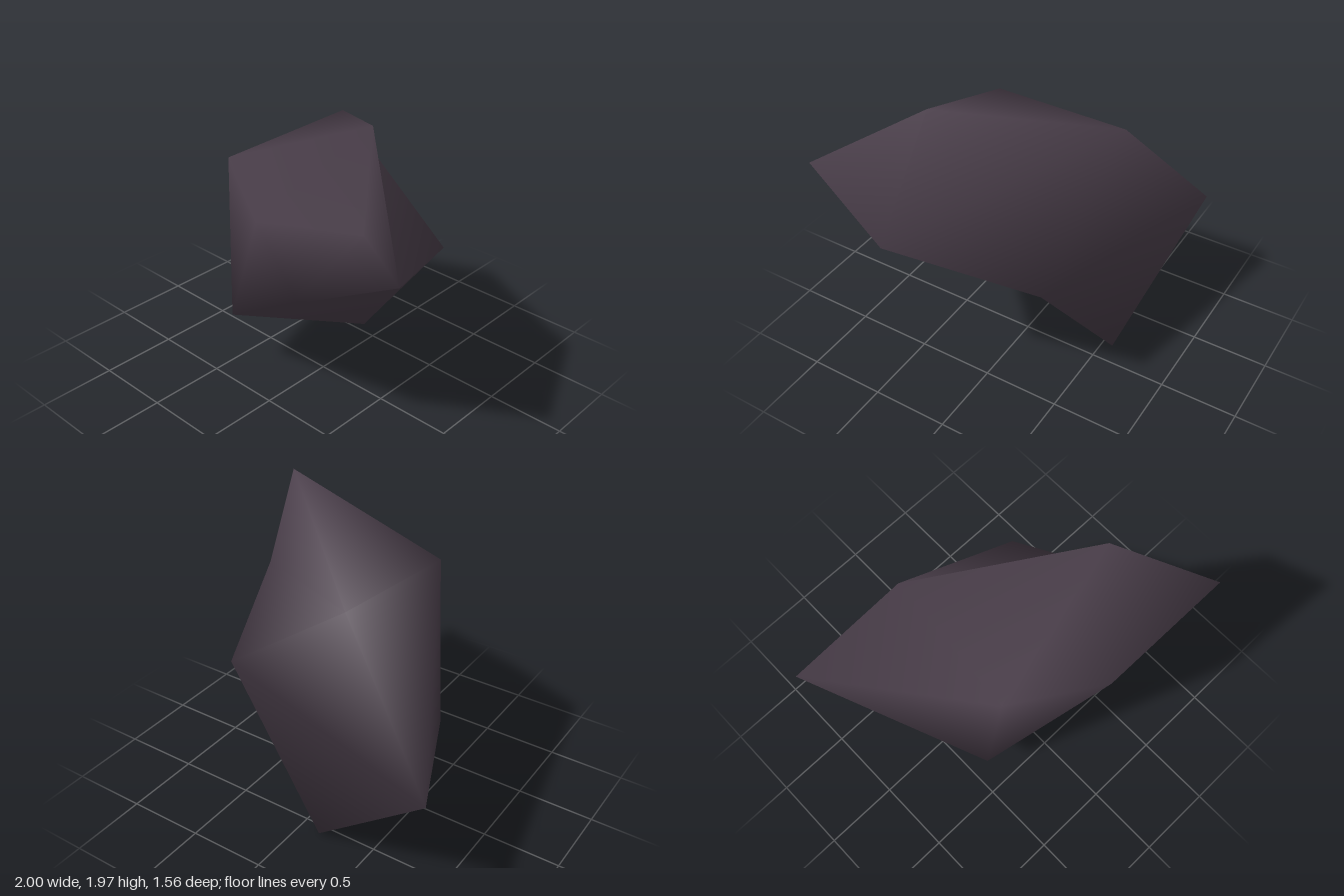
import * as THREE from 'three';

// Corner points of the boulder
const corners = {
  A: [-1, 0.77, -0.78], // back right tip
  B: [-0.14, 0, -0.57], // foot
  C: [0.6, 1.97, 0.26], // peak
  D: [1, 1.67, 0.78], // front left tip
  E: [0.93, 1.18, 0.4],
  F: [0.59, 0.95, -0.45],
  G: [-0.29, 1.6, -0.49],
  H: [0.2, 1.45, 0.74],
  I: [-0.44, 0.4, 0.39],
  K: [0.44, 1.0, 0.67],
  M: [-0.36, 1.55, 0.43],
};

// Facets, by corner letters
const facets = [
  'AGF', 'AFB', // back
  'ABI', 'AIM', 'AMG', // right
  'MCG', 'MHC', 'CHD', // top
  'CDE', 'GCE', 'GEF', // left, with a hollow between peak and back
  'MIH', 'IKH', 'HKD', 'KED', // front
  'EKF', 'FKI', 'FIB', // underside
];

function boulderGeometry() {
  const names = Object.keys(corners);
  const points = names.map((n) => new THREE.Vector3(...corners[n]));
  const center = new THREE.Vector3();
  points.forEach((p) => center.addScaledVector(p, 1 / points.length));

  // Wind every facet so that it faces away from the middle
  const index = [];
  for (const facet of facets) {
    const [i, j, k] = [...facet].map((n) => names.indexOf(n));
    const normal = new THREE.Triangle(points[i], points[j], points[k]).getNormal(new THREE.Vector3());
    const outward = normal.dot(points[i].clone().sub(center)) > 0;
    index.push(...(outward ? [i, j, k] : [i, k, j]));
  }

  const geometry = new THREE.BufferGeometry().setFromPoints(points);
  geometry.setIndex(index);
  geometry.computeVertexNormals(); // shared corners give soft shading
  return geometry;
}

export function createModel() {
  const stone = new THREE.MeshStandardMaterial({ color: 0x4c404c });
  stone.name = 'darkStone';

  const boulder = new THREE.Mesh(boulderGeometry(), stone);
  boulder.name = 'boulder';

  const group = new THREE.Group();
  group.name = 'rock';
  group.add(boulder);
  return group;
}
